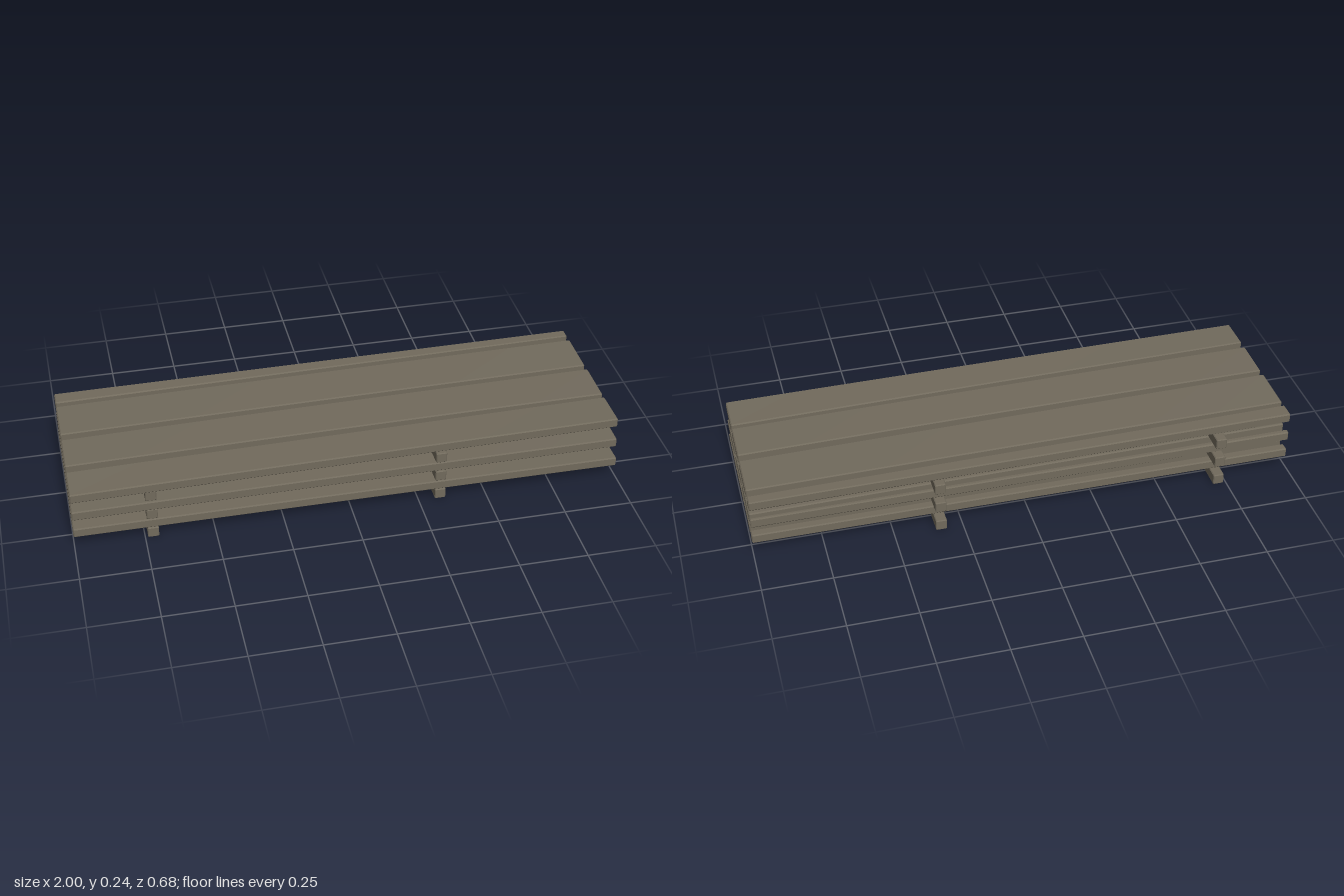
import * as THREE from 'three';

const wood = new THREE.MeshStandardMaterial({ color: 0x716a5c });
wood.name = 'weathered wood';

// Chamfered timber running along x, centred on the origin
function timber(length, height, width, bevel, steps) {
  const w = width / 2, h = height / 2, b = bevel;
  const section = new THREE.Shape([
    [-w + b, -h], [w - b, -h], [w, -h + b], [w, h - b],
    [w - b, h], [-w + b, h], [-w, h - b], [-w, -h + b],
  ].map(([x, y]) => new THREE.Vector2(x, y)));
  const geometry = new THREE.ExtrudeGeometry(section, {
    depth: length - 2 * b, steps, bevelEnabled: true, bevelSegments: 1,
    bevelSize: b, bevelThickness: b, bevelOffset: -b,
  });
  geometry.translate(0, 0, -length / 2 + b);
  geometry.rotateY(Math.PI / 2);
  return geometry;
}

// Plank with its own z range at each end, a slight bow and a slight twist
function plank([leftFront, leftBack, rightFront, rightBack, bow, twist]) {
  const width = (leftFront - leftBack + rightFront - rightBack) / 2;
  const geometry = timber(2, 0.036, width, Math.min(0.004, width / 4), 8);
  const p = geometry.attributes.position;
  for (let i = 0; i < p.count; i++) {
    const x = p.getX(i), s = p.getZ(i) / width, t = (x + 1) / 2;
    const front = THREE.MathUtils.lerp(leftFront, rightFront, t);
    const back = THREE.MathUtils.lerp(leftBack, rightBack, t);
    p.setZ(i, (front + back) / 2 + s * (front - back));
    p.setY(i, p.getY(i) + bow * (1 - x * x) + twist * x * s);
  }
  geometry.computeVertexNormals();
  return geometry;
}

// Per plank: front and back z at x = -1, front and back z at x = 1, bow, twist
const layers = [
  { name: 'bottomPlank', y: 0.062, planks: [
    [0.325, 0.135, 0.33, 0.133, 0.001, 0.002],
    [0.117, -0.062, 0.115, -0.065, 0.005, -0.002],
    [-0.083, -0.243, -0.085, -0.24, 0.005, 0.002],
    [-0.265, -0.3, -0.267, -0.3, 0, 0]] },
  { name: 'middlePlank', y: 0.14, planks: [
    [0.333, 0.15, 0.315, 0.127, 0.001, -0.003],
    [0.117, -0.035, 0.092, -0.06, 0, 0.002],
    [-0.065, -0.25, -0.087, -0.275, 0.001, 0.003],
    [-0.28, -0.303, -0.298, -0.31, 0, 0]] },
  { name: 'topPlank', y: 0.22, planks: [
    [0.336, 0.2, 0.305, 0.155, 0.001, 0.002],
    [0.165, 0, 0.135, -0.035, 0.003, -0.002],
    [-0.03, -0.215, -0.065, -0.245, 0.001, -0.003],
    [-0.237, -0.3, -0.277, -0.317, 0, 0]] },
];

export function createModel() {
  const model = new THREE.Group();
  model.name = 'plankStack';
  const add = (name, geometry, x, y, z) => {
    const mesh = new THREE.Mesh(geometry, wood);
    mesh.name = name;
    mesh.position.set(x, y, z);
    model.add(mesh);
    return mesh;
  };

  // Two cross bearers under every layer
  const bearer = timber(0.665, 0.041, 0.04, 0.003, 1);
  for (const y of [0.0205, 0.1015, 0.1815]) {
    for (const x of [-0.72, 0.33]) {
      add('bearer', bearer, x, y, -0.0075).rotation.y = Math.PI / 2;
    }
  }

  // Three layers of loosely laid planks
  for (const { name, y, planks } of layers) {
    planks.forEach((spec, i) => add(name + (i + 1), plank(spec), 0, y, 0));
  }
  return model;
}
